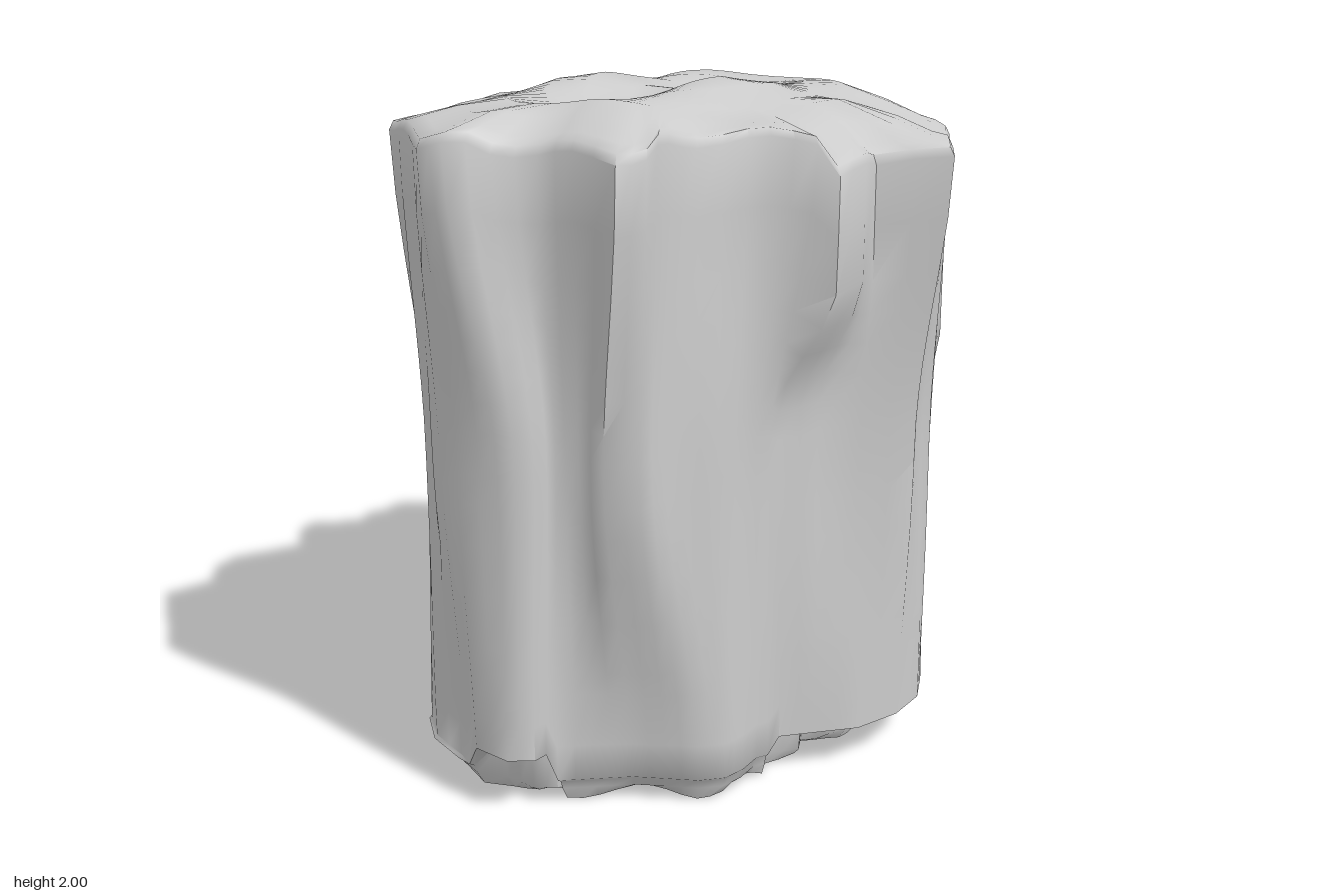
import * as THREE from 'three';
import { toCreasedNormals } from 'three/addons/utils/BufferGeometryUtils.js';

// Outlines as x, z pairs, running from the back round by the +x side.
const TOP = [
  -.17, -.86, .05, -.81, .25, -.75, .4, -.72, .54, -.6, .62, -.46, .7, -.33, .79, -.19, .62, -.07, .65, .03,
  .65, .15, .54, .2, .45, .28, .39, .42, .38, .52, .4, .63, .36, .7, .2, .68, .09, .69, 0, .77,
  -.07, .87, -.15, .88, -.3, .77, -.43, .69, -.56, .61, -.52, .43, -.64, .32, -.67, .22, -.61, .1, -.58, -.04,
  -.73, -.15, -.75, -.25, -.62, -.4, -.64, -.47, -.63, -.54, -.68, -.63, -.61, -.71, -.42, -.78];
const MID = [
  -.17, -.88, .05, -.82, .25, -.78, .4, -.72, .53, -.6, .6, -.46, .65, -.33, .7, -.19, .6, -.06, .53, .05,
  .48, .16, .46, .25, .45, .33, .42, .44, .38, .54, .36, .62, .28, .67, .18, .66, .12, .68, .1, .74,
  .02, .8, -.12, .82, -.3, .74, -.4, .66, -.49, .58, -.5, .43, -.56, .33, -.6, .2, -.61, .08, -.58, -.05,
  -.76, -.15, -.79, -.24, -.62, -.39, -.7, -.48, -.65, -.55, -.66, -.62, -.59, -.7, -.42, -.79];
const LOW = [
  -.17, -.83, .05, -.81, .22, -.77, .36, -.7, .5, -.58, .61, -.45, .67, -.33, .68, -.19, .64, -.04, .56, .06,
  .49, .15, .46, .22, .47, .3, .46, .37, .41, .43, .33, .48, .25, .53, .17, .61, .1, .68, .1, .77,
  .04, .82, -.08, .82, -.25, .72, -.4, .68, -.51, .6, -.51, .43, -.56, .33, -.6, .2, -.61, .08, -.6, -.05,
  -.66, -.15, -.69, -.25, -.61, -.39, -.69, -.47, -.64, -.55, -.61, -.61, -.53, -.68, -.39, -.75];
const COUNT = TOP.length / 2;
const N = COUNT * 2;
const CENTRE = [-.03, -.05];
const within = (i, a, b) => i >= a && i <= b;
const { lerp: mix, smoothstep } = THREE.MathUtils;

// Outline point at a whole or half index.
function at(outline, i, axis) {
  const a = Math.floor(i), b = (a + 1) % COUNT;
  return mix(outline[2 * a + axis], outline[2 * b + axis], i - a);
}

// Height of each ledge at the foot, and how far the base draws in under it.
function foot(i) {
  if (within(i, 4.6, 10)) return [.13, i > 8.5 ? .88 : .78];
  if (within(i, 18.5, 21)) return [.18, .87];
  if (within(i, 30, 36)) return [.24, .89];
  if (within(i, 25, 29.5)) return [.1, .95];
  if (within(i, 22, 24.5)) return [.06, 1];
  return [.08, .97];
}

// Height of the upper edge.
function rim(i) {
  let y = 1.89;
  if (within(i, 8, 10)) y = 1.81;
  else if (within(i, 2, 7.5)) y = 1.835;
  else if (within(i, 15, 19)) y = 1.87;
  else if (within(i, 30, 31.5)) y = 1.865;
  else if (within(i, 34, 37.5)) y = 1.87;
  return y + .012 * Math.sin(i * 2.3);
}

// Point on the side wall: t = 0 at the foot, 1 at the upper edge.
function wall(i, t) {
  const overhang = within(i, 8, 10) || within(i, 26, 28);
  const up = overhang ? smoothstep(t, .6, .82) : smoothstep(t, .5, 1);
  const low = within(i, 30, 31) ? smoothstep(t, .4, .52) : smoothstep(t, 0, .55);
  let k = 1 + .012 * Math.sin(i * Math.PI * 1.15 + Math.sin(t * 4 + i)) * Math.sin(t * Math.PI);
  // hollow low on the back corner, with a groove running up from it
  if (within(i, 3.5, 4.5) && t < .17) k = .88;
  else if (i === 4 && t < .62) k = .93;
  const [x, z] = [0, 1].map(n => k * mix(mix(at(LOW, i, n), at(MID, i, n), low), at(TOP, i, n), up));
  return [x, mix(foot(i)[0], rim(i) - .02, t), z];
}

// An outline point drawn in towards the centre.
const inset = (outline, i, k, y) =>
  [mix(CENTRE[0], at(outline, i, 0), k), y, mix(CENTRE[1], at(outline, i, 1), k)];

// Crown point: the inner rings lose the notches of the outline and become oval.
function crown(i, k) {
  const p = inset(TOP, i, k, 0);
  const angle = Math.atan2(p[2] - CENTRE[1], p[0] - CENTRE[0]);
  const oval = smoothstep(1 - k, .05, .4);
  p[0] = mix(p[0], CENTRE[0] + .6 * k * Math.cos(angle), oval);
  p[2] = mix(p[2], CENTRE[1] + .78 * k * Math.sin(angle), oval);
  const slope = .06 * smoothstep(p[0], .3, .6) + .03 * smoothstep(-p[2], .45, .8);
  const bumps = 1.955 + .03 * Math.cos((p[0] - .13) * 15.7) * Math.cos(p[2] * 2.5) + .015 * Math.cos(p[2] * 10 + p[0] * 3);
  p[1] = mix(rim(i), bumps - slope, smoothstep(1 - k, -.04, .3));
  return p;
}

function makeRings() {
  const rings = [];
  const ring = f => rings.push(Array.from({ length: N }, (_, j) => f(j / 2)));
  // underside and ledges
  ring(() => [CENTRE[0], .03, CENTRE[1]]);
  ring(i => inset(LOW, i, .5, .03));
  ring(i => inset(LOW, i, foot(i)[1] - .03, .018 + .018 * Math.sin(i * 1.7)));
  ring(i => inset(LOW, i, foot(i)[1], .045));
  ring(i => inset(LOW, i, foot(i)[1] + .01, foot(i)[0] - .01));
  // fluted wall
  for (const t of [0, .06, .15, .19, .28, .36, .43, .48, .55, .6, .65, .7, .75, .81, .9, 1]) ring(i => wall(i, t));
  // worn edge and uneven crown
  for (const k of [.985, .93, .84, .72, .56, .4, .22]) ring(i => crown(i, k));
  ring(() => [CENTRE[0], 1.955, CENTRE[1]]);
  return rings;
}

// Skin the rings from the bottom centre to the top centre.
function loft(rings) {
  const index = [];
  for (let r = 0; r < rings.length - 1; r++) {
    for (let i = 0; i < N; i++) {
      const a = r * N + i, b = r * N + (i + 1) % N, c = a + N, d = b + N;
      if (r > 0) index.push(b, a, c);
      if (r < rings.length - 2) index.push(b, c, d);
    }
  }
  const geometry = new THREE.BufferGeometry();
  geometry.setAttribute('position', new THREE.Float32BufferAttribute(rings.flat(2), 3));
  geometry.setIndex(index);
  return toCreasedNormals(geometry, 1.1);
}

export function createModel() {
  const group = new THREE.Group();
  group.name = 'rock';
  const material = new THREE.MeshStandardMaterial({ color: 0xcccccc });
  const rock = new THREE.Mesh(loft(makeRings()), material);
  rock.name = 'rockPillar';
  group.add(rock);
  return group;
}
